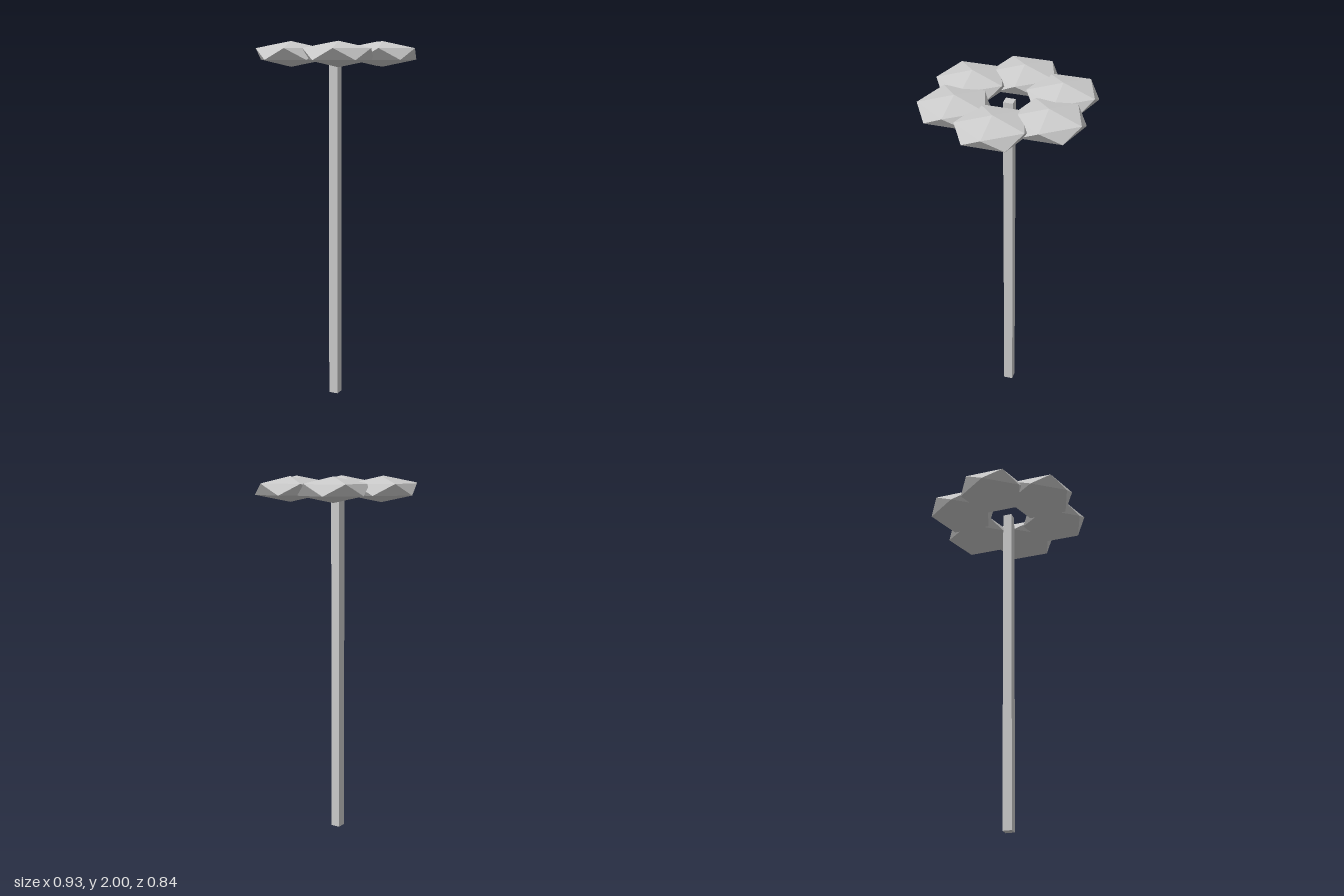
import * as THREE from 'three';

const RADIUS = 0.209;      // petal radius before flattening
const HALF_HEIGHT = 0.0675;
const RING = 0.28;         // distance of petal centres from the stem
const RING_Y = 1.9325;

export function createModel() {
  const group = new THREE.Group();
  const grey = new THREE.MeshStandardMaterial({ color: 0xcccccc, flatShading: true });
  grey.name = 'light grey';

  // Square stem, ending level with the middle of the petals
  const stem = new THREE.Mesh(new THREE.BoxGeometry(0.052, RING_Y, 0.052), grey);
  stem.name = 'stem';
  stem.position.y = RING_Y / 2;
  group.add(stem);

  // Flattened icosahedron with a corner on top and its upper ring pointing to +x
  const petalShape = new THREE.IcosahedronGeometry(RADIUS, 0);
  petalShape.rotateX(-Math.atan((1 + Math.sqrt(5)) / 2));
  petalShape.rotateY(Math.PI / 2);
  petalShape.scale(1, HALF_HEIGHT / RADIUS, 1);
  petalShape.computeVertexNormals();

  // Ring of six petals, all facing the same way
  const petals = new THREE.Group();
  petals.name = 'petals';
  for (let i = 0; i < 6; i++) {
    const angle = (i * Math.PI) / 3;
    const petal = new THREE.Mesh(petalShape, grey);
    petal.name = `petal${i + 1}`;
    petal.position.set(RING * Math.cos(angle), RING_Y, RING * Math.sin(angle));
    petals.add(petal);
  }
  group.add(petals);

  return group;
}
